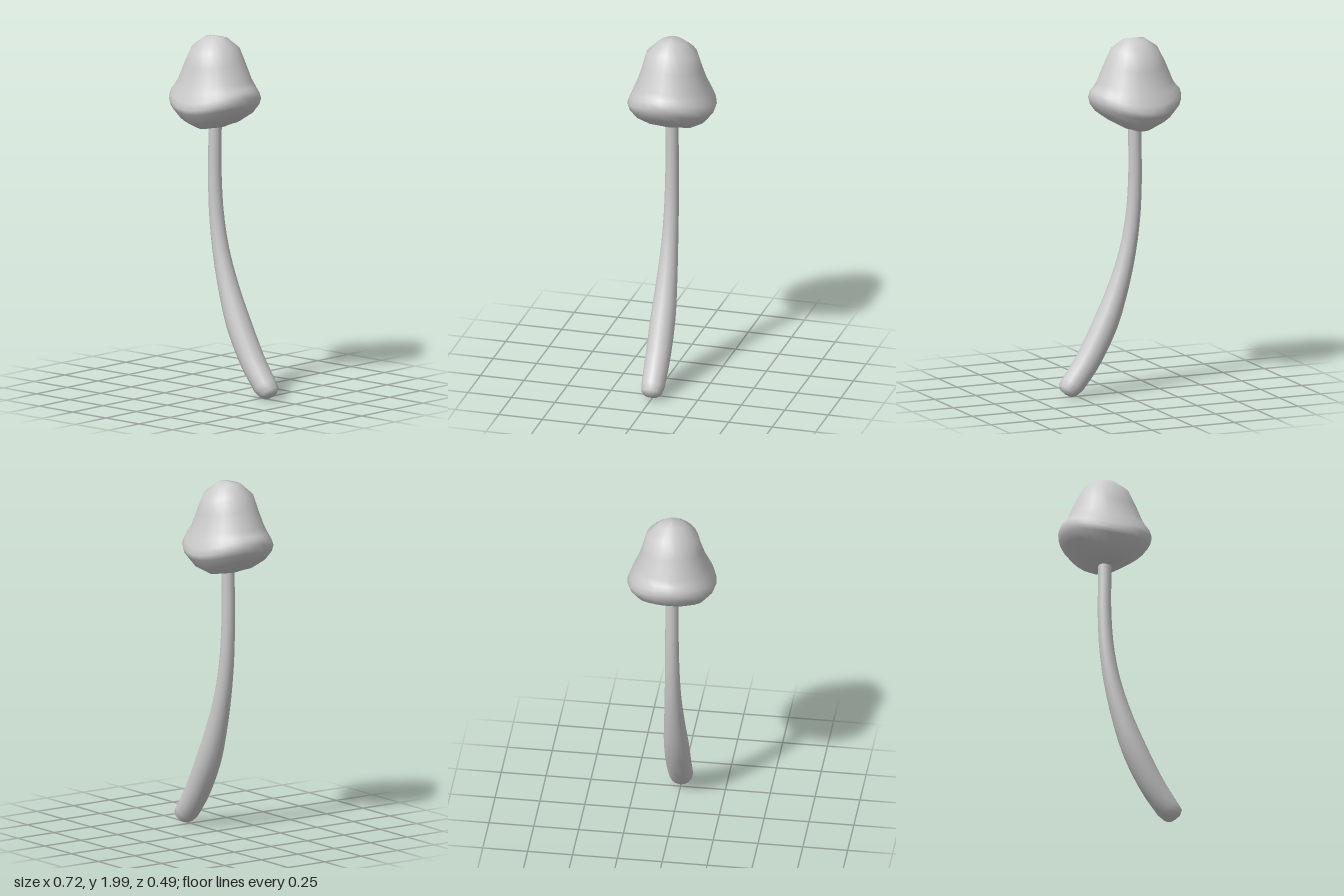
import * as THREE from 'three';

// Smooth closed surface from rings running top to bottom; point(row, angle) gives a position.
function loft(rows, sides, point) {
  const positions = [], indices = [];
  for (let i = 0; i < rows; i++) {
    for (let j = 0; j < sides; j++) {
      positions.push(...point(i, (j / sides) * Math.PI * 2));
      if (i === rows - 1) continue;
      const a = i * sides + j, b = i * sides + (j + 1) % sides;
      indices.push(a, b, a + sides, b, b + sides, a + sides);
    }
  }
  const geometry = new THREE.BufferGeometry();
  geometry.setAttribute('position', new THREE.Float32BufferAttribute(positions, 3));
  geometry.setIndex(indices);
  geometry.computeVertexNormals();
  return geometry;
}

export function createModel() {
  const group = new THREE.Group();
  const material = new THREE.MeshStandardMaterial({ color: 0xcccccc });
  const add = (name, geometry) => {
    const mesh = new THREE.Mesh(geometry, material);
    mesh.name = name;
    group.add(mesh);
  };

  // Cap: the rim lifts on the left and right and droops at front and back,
  // so blend two [radius, height] profiles around the axis.
  const sideProfile = [[0.001, 2], [0.055, 1.997], [0.125, 1.95], [0.172, 1.86], [0.215, 1.755],
    [0.235, 1.727], [0.252, 1.712], [0.262, 1.68], [0.253, 1.64], [0.225, 1.6], [0.15, 1.545],
    [0.06, 1.495], [0.001, 1.49]];
  const frontProfile = [[0.001, 2], [0.075, 1.983], [0.145, 1.915], [0.166, 1.83], [0.19, 1.755],
    [0.215, 1.7], [0.235, 1.65], [0.247, 1.615], [0.237, 1.588], [0.19, 1.53], [0.12, 1.492],
    [0.06, 1.49], [0.001, 1.49]];
  add('cap', loft(sideProfile.length, 24, (i, angle) => {
    const w = Math.cos(angle) ** 2;
    const r = THREE.MathUtils.lerp(frontProfile[i][0], sideProfile[i][0], w);
    const y = THREE.MathUtils.lerp(frontProfile[i][1], sideProfile[i][1], w);
    return [-0.1 + r * Math.cos(angle), y, r * Math.sin(angle)];
  }));

  // Stem: the curve's third coordinate carries the radius.
  const stemCurve = new THREE.CatmullRomCurve3([
    [-0.1, 1.53, 0.037], [-0.102, 1.35, 0.037], [-0.102, 1.2, 0.038], [-0.09, 1, 0.041],
    [-0.057, 0.8, 0.047], [0, 0.6, 0.058], [0.078, 0.4, 0.07], [0.185, 0.2, 0.07],
    [0.275, 0.077, 0.066],
  ].map((p) => new THREE.Vector3(...p)));
  const rings = [];
  for (let i = 0; i <= 20; i++) rings.push(stemCurve.getPoint(i / 20));
  // Rounded foot
  for (const p of [[0.308, 0.045, 0.058], [0.318, 0.027, 0.035], [0.321, 0.022, 0.001]]) {
    rings.push(new THREE.Vector3(...p));
  }
  add('stem', loft(rings.length, 16, (i, angle) => {
    const p = rings[i];
    const t = rings[Math.min(i + 1, 20)].clone().sub(rings[Math.min(i, 20) - (i ? 1 : 0)]);
    t.setZ(0).normalize();
    const across = p.z * Math.cos(angle);
    return [p.x - t.y * across, p.y + t.x * across, p.z * Math.sin(angle)];
  }));

  return group;
}
